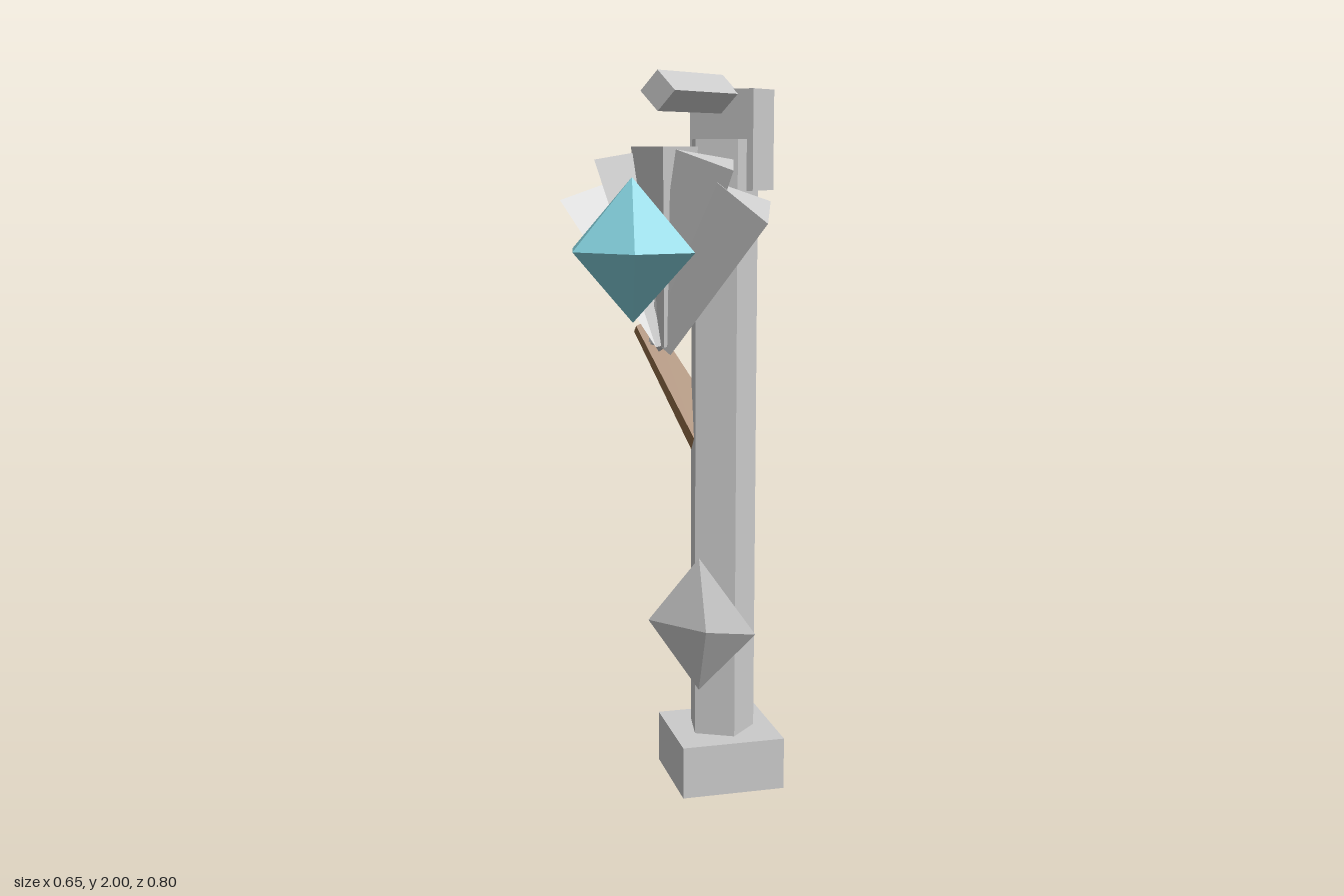
import * as THREE from 'three';

const mat = (color) => new THREE.MeshStandardMaterial({ color, flatShading: true });

export function createModel() {
  const model = new THREE.Group();
  const grey = mat(0xcccccc), cyan = mat(0x84d0dc), brown = mat(0x9a734c);

  const add = (name, geometry, material, x, y, z) => {
    const mesh = new THREE.Mesh(geometry, material);
    mesh.name = name;
    mesh.position.set(x, y, z);
    model.add(mesh);
    return mesh;
  };
  // Faceted double pyramid with its own size on each axis
  const gem = (sides, rx, ry, rz) =>
    new THREE.SphereGeometry(1, sides, 2).rotateY(Math.PI).scale(rx, ry, rz);

  // Square foot turned corner-on, and five-sided post
  add('base', new THREE.CylinderGeometry(0.21, 0.21, 0.15, 4), grey, 0, 0.075, -0.19);
  add('post', new THREE.CylinderGeometry(0.098, 0.098, 1.68, 5, 1, false, -Math.PI / 2),
    grey, 0, 0.99, -0.19);

  // Head block with a forward arm
  add('headBlock', new THREE.BoxGeometry(0.197, 0.27, 0.12), grey, 0, 1.828, -0.242);
  add('arm', new THREE.CylinderGeometry(0.051, 0.051, 0.335, 4).rotateX(Math.PI / 2),
    grey, 0, 1.949, -0.022);

  // Tapered side branch, rooted inside the post
  add('branch', new THREE.CylinderGeometry(0.0375, 0.066, 0.4, 4),
    brown, -0.145, 1.145, -0.19).rotation.z = 0.6;

  // Flattened gem on the post and the large front crystal
  add('lowerGem', gem(5, 0.18, 0.193, 0.059), grey, 0, 0.49, -0.066);
  add('crystal', gem(6, 0.182, 0.181, 0.152), cyan, 0, 1.555, 0.268);

  // Fan of five three-sided blades meeting at the bottom
  const lengths = [0.51, 0.5, 0.453];
  for (let i = -2; i <= 2; i++) {
    const length = lengths[Math.abs(i)];
    const tilt = -0.3 * i;
    const spin = -Math.PI / 2 * (1 + Math.sign(i));
    const blade = new THREE.CylinderGeometry(0.1, 0.043, length, 3)
      .rotateY(spin).translate(0, length / 2, 0);
    add('fanBlade', blade, grey, 0, 1.3, 0.115).rotation.z = tilt;
  }
  return model;
}
